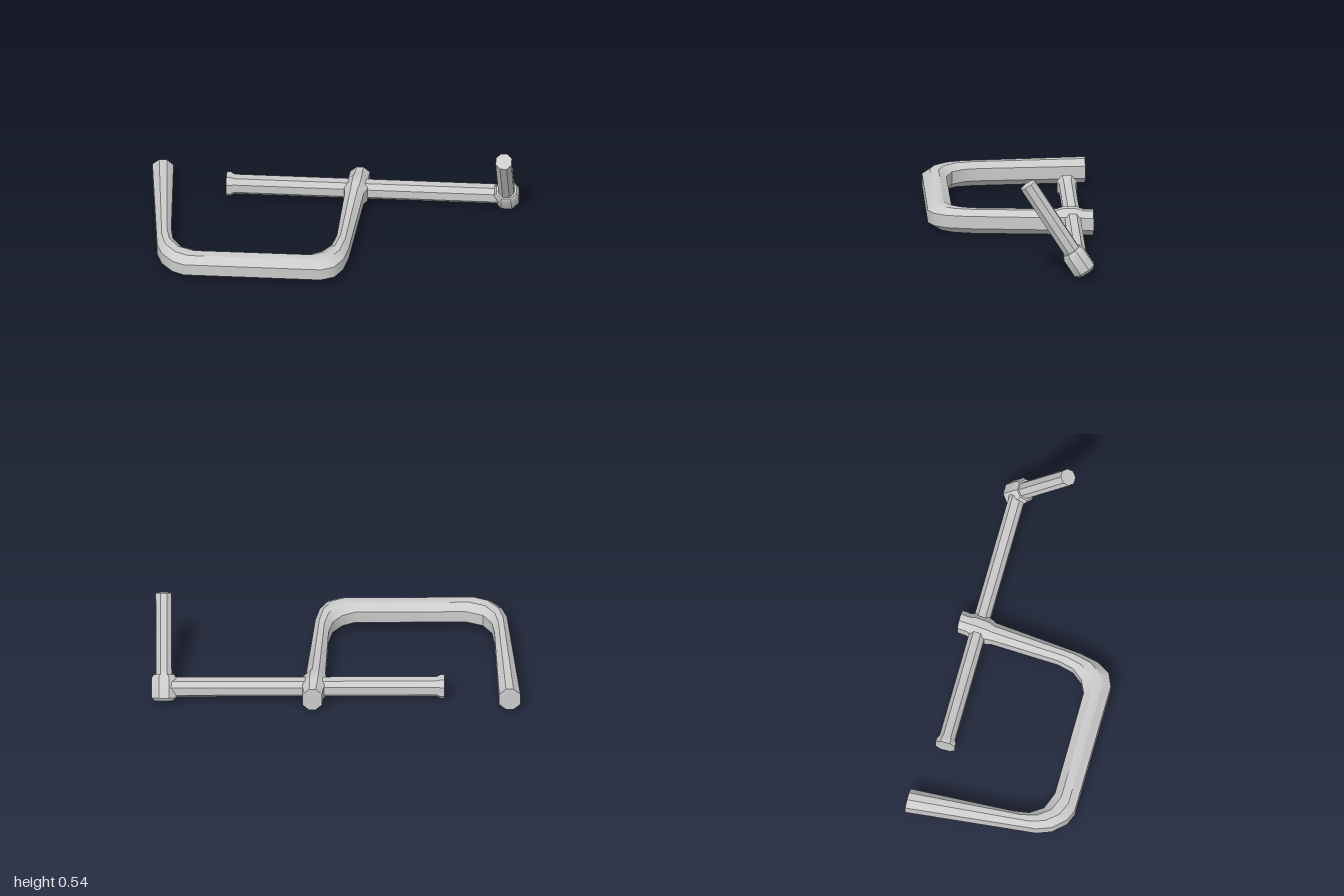
import * as THREE from 'three';
import { toCreasedNormals } from 'three/addons/utils/BufferGeometryUtils.js';

const V = (x, y, z) => new THREE.Vector3(x, y, z);

// Skin a row of eight-sided sections. Each section is {c, u, v}: its centre and
// two half-axes, with u x v pointing along the row. fu, fv set the flat lengths.
function loft(sections, fu = 0.42, fv = 0.42) {
  const ring = [[1, -fv], [1, fv], [fu, 1], [-fu, 1], [-1, fv], [-1, -fv], [-fu, -1], [fu, -1]];
  const pos = [], idx = [], n = ring.length, last = sections.length - 1;
  sections.forEach(({ c, u, v }) => ring.forEach(([a, b]) => {
    pos.push(...c.clone().addScaledVector(u, a).addScaledVector(v, b).toArray());
  }));
  for (let s = 0; s < last; s++) {
    for (let i = 0; i < n; i++) {
      const a = s * n + i, b = s * n + (i + 1) % n;
      idx.push(a, b, b + n, a, b + n, a + n);
    }
  }
  for (let i = 1; i < n - 1; i++) {
    idx.push(0, i + 1, i);
    idx.push(last * n, last * n + i, last * n + i + 1);
  }
  const g = new THREE.BufferGeometry();
  g.setAttribute('position', new THREE.Float32BufferAttribute(pos, 3));
  g.setIndex(idx);
  return toCreasedNormals(g, 0.6);
}

export function createModel() {
  const model = new THREE.Group();
  model.name = 'clamp';
  const material = new THREE.MeshStandardMaterial({ color: 0xcccccc });
  const add = (name, geometry, parent = model) => {
    const mesh = new THREE.Mesh(geometry, material);
    mesh.name = name;
    parent.add(mesh);
    return mesh;
  };

  // U-shaped frame: outer x, z, inner x, z and half height of each section;
  // the taller sections near the end form the collar around the screw
  const frame = [
    [-1, -0.447, -0.885, -0.447, 0.0675],
    [-0.93, 0.27, -0.862, 0.12, 0.0675],
    [-0.90, 0.35, -0.848, 0.21, 0.0675],
    [-0.837, 0.418, -0.80, 0.28, 0.0675],
    [-0.775, 0.445, -0.705, 0.315, 0.0675],
    [-0.03, 0.445, -0.105, 0.312, 0.0675],
    [0.04, 0.415, -0.035, 0.28, 0.0675],
    [0.085, 0.345, 0.015, 0.22, 0.0675],
    [0.11, 0.24, 0.038, 0.13, 0.0675],
    [0.16, -0.25, 0.057, -0.25, 0.0675],
    [0.177, -0.285, 0.052, -0.285, 0.08],
    [0.185, -0.36, 0.058, -0.36, 0.08],
    [0.177, -0.395, 0.07, -0.395, 0.0675],
    [0.182, -0.447, 0.075, -0.447, 0.0675],
  ];
  add('frame', loft(frame.map(([ox, oz, ix, iz, h]) => ({
    c: V((ox + ix) / 2, 0.0825, (oz + iz) / 2),
    u: V((ix - ox) / 2, 0, (iz - oz) / 2),
    v: V(0, h, 0),
  })), 0.36, 0.51));

  // Screw along x with a flared pressing tip: x, half height, half depth
  const screw = [[-0.59, 0.062, 0.054], [-0.568, 0.062, 0.054], [-0.545, 0.051, 0.0435], [0.92, 0.051, 0.0435]];
  add('screw', loft(screw.map(([x, h, d]) => ({
    c: V(x, 0.088, -0.334), u: V(0, h, 0), v: V(0, 0, d),
  })), 0.48, 0.48));

  // Tilted handle: bevelled head and a straight bar, built upright
  const handle = new THREE.Group();
  handle.name = 'handle';
  handle.position.set(0.933, 0.087, -0.332);
  handle.rotation.x = 0.567;
  model.add(handle);
  const upright = (rows) => loft(rows.map(([y, x, z]) => ({
    c: V(0, y, 0), u: V(0, 0, z), v: V(x, 0, 0),
  })));
  add('handleHead', upright([
    [-0.074, 0.05, 0.047], [-0.058, 0.066, 0.062], [0.052, 0.066, 0.062], [0.07, 0.054, 0.052],
  ]), handle);
  add('handleBar', upright([[0.03, 0.043, 0.044], [0.512, 0.043, 0.044]]), handle);

  return model;
}
